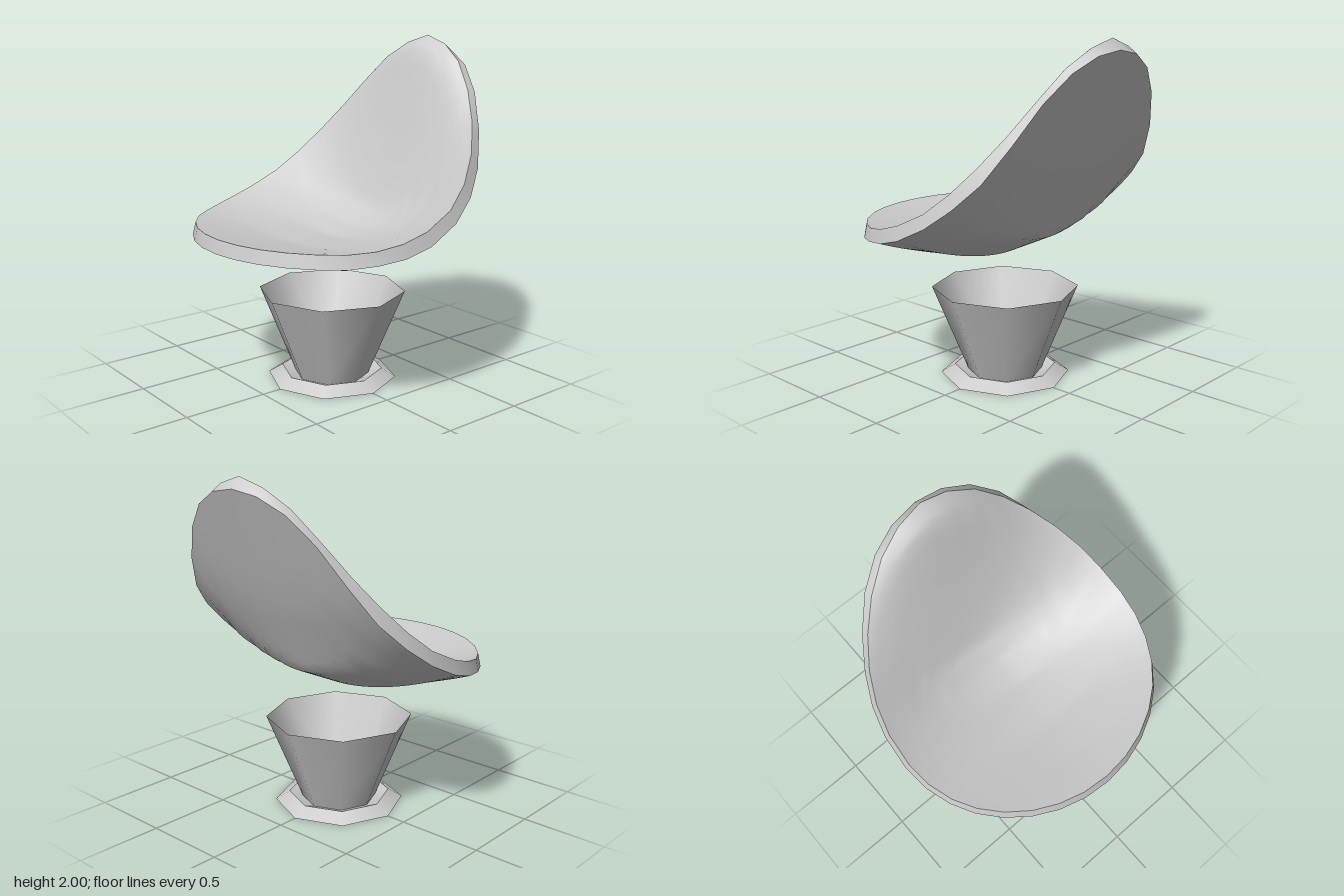
import * as THREE from 'three';
import { mergeVertices } from 'three/addons/utils/BufferGeometryUtils.js';

const SEG = 32, RINGS = 24, BACK_POWER = 0.87;

// Height curves as [z, y] pairs, from the front of the seat to the top of the back
const innerRim = [[0.775, 0.955], [0.4, 0.955], [0.27, 0.97], [0.13, 1.0], [-0.04, 1.055], [-0.2, 1.14],
  [-0.355, 1.275], [-0.49, 1.44], [-0.555, 1.55], [-0.63, 1.7], [-0.695, 1.86], [-0.735, 1.96], [-0.745, 2]];
const outerRim = [[0.795, 0.88], [0.4, 0.88], [0.13, 0.92], [-0.07, 0.98], [-0.26, 1.09],
  [-0.42, 1.225], [-0.52, 1.35], [-0.6, 1.51], [-0.7, 1.74], [-0.76, 1.87], [-0.797, 1.94]];
const innerSpine = [[0.775, 0.955], [0.55, 0.91], [0.31, 0.87], [0, 0.86], [-0.18, 0.9], [-0.31, 1.0],
  [-0.4, 1.2], [-0.5, 1.47], [-0.64, 1.915], [-0.745, 2]];
const outerSpine = [[0.795, 0.88], [0.31, 0.745], [0, 0.738], [-0.335, 0.89], [-0.525, 1.275], [-0.61, 1.47],
  [-0.797, 1.94]];

function heightAt(curve, z) {
  for (let i = 1; i < curve.length; i++) {
    const [z0, y0] = curve[i - 1], [z1, y1] = curve[i];
    if (z >= z1 || i === curve.length - 1) {
      return THREE.MathUtils.lerp(y0, y1, THREE.MathUtils.clamp((z0 - z) / (z0 - z1), 0, 1));
    }
  }
}

// One skin of the shell: a rounded plan, lifted from the spine curve to the rim curve
function makeSkin(rx, rim, spine) {
  const front = spine[0][0], back = spine[spine.length - 1][0];
  const zc = (front + back) / 2, hz = (front - back) / 2;
  return (t, angle) => {
    const c = Math.cos(angle);
    const edgeZ = c >= 0 ? c : -Math.pow(-c, BACK_POWER);
    const x = t * rx * Math.sin(angle), z = zc + t * hz * edgeZ;
    const d = Math.min(1, Math.abs(z - zc) / hz);
    const k = z > zc ? d : Math.pow(d, 1 / BACK_POWER);
    const halfWidth = rx * Math.sqrt(Math.max(1e-8, 1 - k * k));
    const side = t === 1 ? 1 : Math.min(1, Math.abs(x) / halfWidth);
    const y = THREE.MathUtils.lerp(heightAt(spine, z), heightAt(rim, z), Math.pow(side, 1.75));
    return [x, y, z];
  };
}

// Closed loops of points joined into a smooth surface
function loft(rows, point, flip) {
  const pos = [], idx = [];
  for (let r = 0; r <= rows; r++) {
    for (let s = 0; s < SEG; s++) pos.push(...point(r / rows, (s / SEG) * Math.PI * 2));
  }
  for (let r = 0; r < rows; r++) {
    for (let s = 0; s < SEG; s++) {
      const n = (s + 1) % SEG;
      const a = r * SEG + s, b = r * SEG + n, c = a + SEG, d = b + SEG;
      if (flip) idx.push(a, d, c, a, b, d);
      else idx.push(a, c, d, a, d, b);
    }
  }
  const g = new THREE.BufferGeometry();
  g.setAttribute('position', new THREE.Float32BufferAttribute(pos, 3));
  g.setIndex(idx);
  const merged = mergeVertices(g, 1e-5);
  merged.computeVertexNormals();
  return merged;
}

export function createModel() {
  const model = new THREE.Group();
  model.name = 'shellChair';
  const material = new THREE.MeshStandardMaterial({ color: 0xcccccc, side: THREE.DoubleSide });
  const add = (parent, name, geometry, y = 0) => {
    const mesh = new THREE.Mesh(geometry, material);
    mesh.name = name;
    mesh.position.y = y;
    parent.add(mesh);
  };

  // Seat shell: upper skin, underside and the band between their edges
  const shell = new THREE.Group();
  shell.name = 'seatShell';
  model.add(shell);
  const inner = makeSkin(0.81, innerRim, innerSpine);
  const outer = makeSkin(0.83, outerRim, outerSpine);
  add(shell, 'seatSurface', loft(RINGS, inner, false));
  add(shell, 'seatUnderside', loft(RINGS, outer, true));
  add(shell, 'seatRim', loft(1, (t, angle) => (t === 0 ? inner : outer)(1, angle), false));

  // Pedestal: open tapered cup set into a low flared foot with a dished top
  const pedestal = new THREE.Group();
  pedestal.name = 'pedestal';
  model.add(pedestal);
  add(pedestal, 'pedestalCup', new THREE.CylinderGeometry(0.432, 0.221, 0.515, 8, 1, true), 0.2775);
  add(pedestal, 'cupFloor', new THREE.CircleGeometry(0.221, 8).rotateX(-Math.PI / 2), 0.02);
  add(pedestal, 'footFlare', new THREE.CylinderGeometry(0.3, 0.383, 0.05, 8, 1, true), 0.025);
  add(pedestal, 'footDish', new THREE.CylinderGeometry(0.3, 0.221, 0.03, 8, 1, true), 0.035);

  return model;
}
